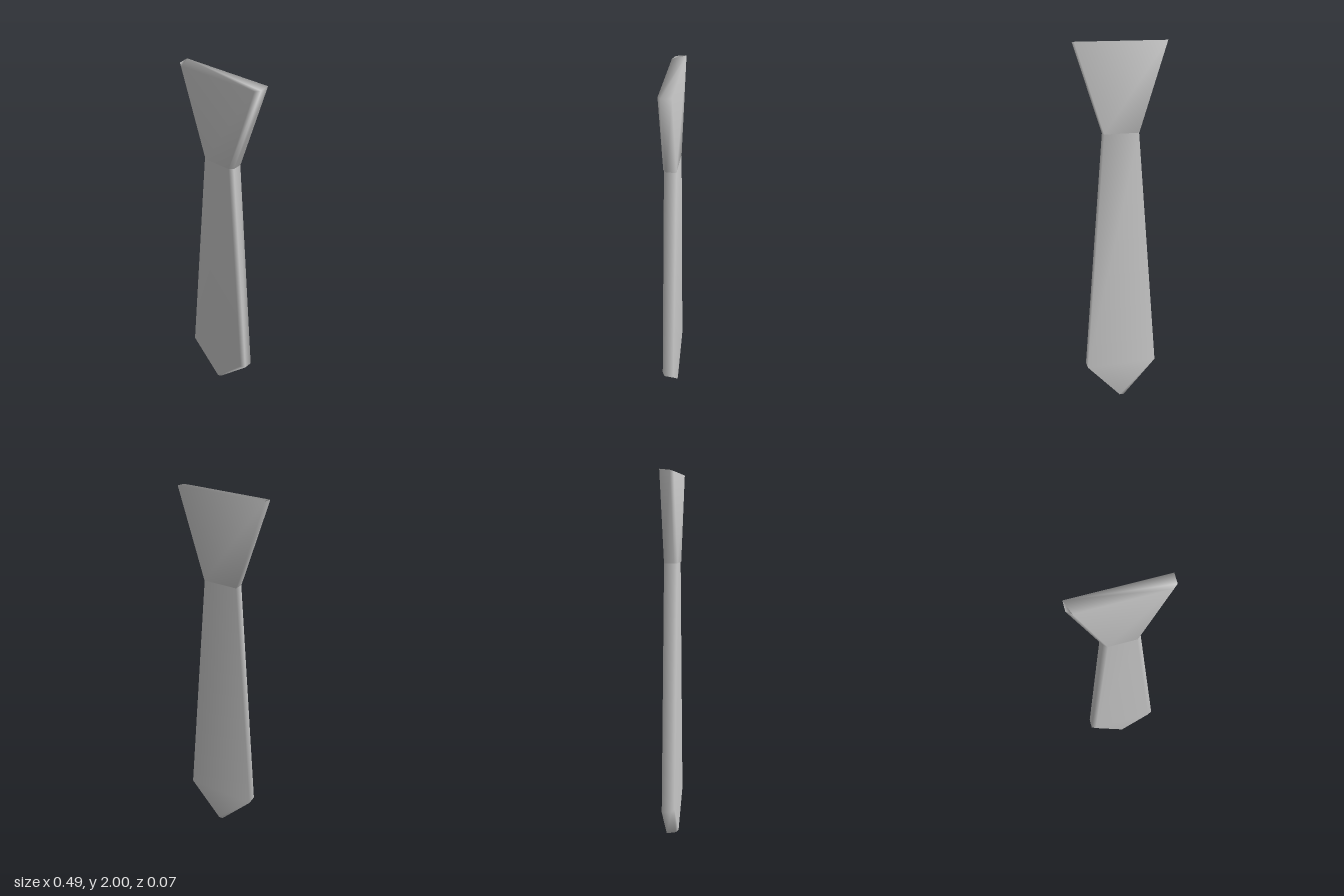
import * as THREE from 'three';

const BACK = -0.035, SIDE = 0.017;

// Closed loft of six-cornered sections (flat back, bevelled front), listed bottom to top.
// y: height at the back, yf: height at the front, w: half width, b: bevel width
function loft(name, front, rows, material) {
  const positions = [], index = [];
  for (const { y, yf = y, w, b } of rows) {
    const ys = (y + yf) / 2;
    positions.push(
      -w, y, BACK, -w, ys, SIDE, b - w, yf, front,
      w - b, yf, front, w, ys, SIDE, w, y, BACK);
  }
  for (let r = 0; r < rows.length - 1; r++) {
    for (let i = 0; i < 6; i++) {
      const j = (i + 1) % 6, a = r * 6 + i, c = r * 6 + j;
      index.push(a, c, c + 6, a, c + 6, a + 6);
    }
  }
  // End caps
  const top = (rows.length - 1) * 6;
  for (let k = 1; k < 5; k++) {
    index.push(0, k + 1, k, top, top + k, top + k + 1);
  }
  const geometry = new THREE.BufferGeometry();
  geometry.setAttribute('position', new THREE.Float32BufferAttribute(positions, 3));
  geometry.setIndex(index);
  geometry.computeVertexNormals();
  const mesh = new THREE.Mesh(geometry, material);
  mesh.name = name;
  return mesh;
}

export function createModel() {
  const group = new THREE.Group();
  group.name = 'necktie';
  const material = new THREE.MeshStandardMaterial({ color: 0xcccccc });

  // Knot flaring towards the collar
  group.add(loft('knot', 0.034, [
    { y: 1.53, w: 0.095, b: 0.02 },
    { y: 2, yf: 1.99, w: 0.246, b: 0.026 },
  ], material));

  // Long blade widening down to a pointed tip
  group.add(loft('blade', 0.031, [
    { y: 0, yf: 0.02, w: 0.012, b: 0.01 },
    { y: 0.2, yf: 0.21, w: 0.198, b: 0.025 },
    { y: 1.53, w: 0.094, b: 0.022 },
  ], material));

  return group;
}
